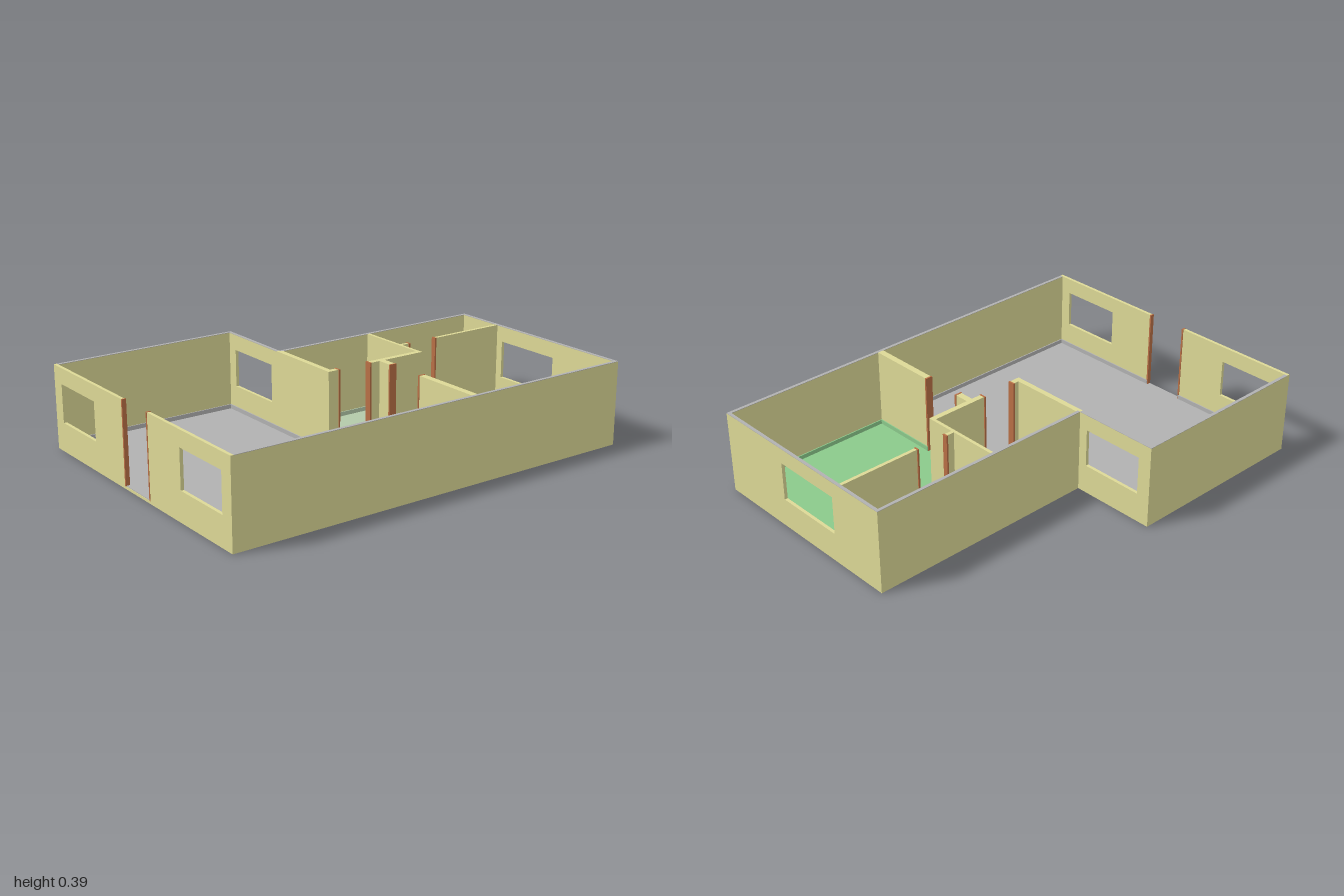
import * as THREE from 'three';

const mat = (color) => new THREE.MeshStandardMaterial({ color, flatShading: true });
const WALL = mat(0xdcd896), GREY = mat(0xb1b1b1), GREEN = mat(0x8bc98b);
const PALE = mat(0xb3c9a9), WOOD = mat(0xb86f45);
const BASE = 0.012, FLOOR = 0.015, TOP = 0.386, T = 0.015, SKIRT = 0.035;

export function createModel() {
  const model = new THREE.Group();

  const add = (name, geometry, material) => {
    const mesh = new THREE.Mesh(geometry, material);
    mesh.name = name;
    model.add(mesh);
    return mesh;
  };
  const box = (name, material, x0, x1, y0, y1, z0, z1) => {
    const mesh = add(name, new THREE.BoxGeometry(x1 - x0, y1 - y0, z1 - z0), material);
    mesh.position.set((x0 + x1) / 2, (y0 + y1) / 2, (z0 + z1) / 2);
    return mesh;
  };
  const wall = (name, x0, x1, z0, z1, capped = false) => {
    box(name, WALL, x0, x1, BASE, capped ? TOP - 0.002 : TOP, z0, z1);
    if (capped) box(name + 'Cap', GREY, x0, x1, TOP - 0.002, TOP, z0, z1);
  };

  // Wall along x with one window opening
  const windowWall = (name, x0, x1, z0, z1, w0, w1, capped) => {
    const top = capped ? TOP - 0.002 : TOP;
    const rect = (Type, a, b, c, d) => new Type([[a, c], [b, c], [b, d], [a, d]].map((p) => new THREE.Vector2(...p)));
    const shape = rect(THREE.Shape, x0, x1, BASE, top);
    shape.holes.push(rect(THREE.Path, w0, w1, 0.135, 0.312));
    const geometry = new THREE.ExtrudeGeometry(shape, { depth: z1 - z0, bevelEnabled: false });
    add(name, geometry.translate(0, 0, z0), WALL);
    if (capped) box(name + 'Cap', GREY, x0, x1, top, TOP, z0, z1);
  };

  // L-shaped base slab
  const outline = [[-0.71, 1], [0.71, 1], [0.71, -1], [-0.305, -1], [-0.305, 0.095], [-0.71, 0.095]];
  const slab = new THREE.Shape(outline.map(([x, z]) => new THREE.Vector2(x, -z)));
  add('baseSlab', new THREE.ExtrudeGeometry(slab, { depth: BASE, bevelEnabled: false }).rotateX(-Math.PI / 2), WALL);

  // Floors
  box('livingFloor', GREY, -0.695, 0.695, BASE, FLOOR, 0.11, 0.998);
  box('hallFloor', GREY, 0.078, 0.695, BASE, FLOOR, -0.18, 0.11);
  box('storeFloor', GREY, -0.29, -0.066, BASE, FLOOR, -0.985, -0.405);
  box('bedroomFloor', GREEN, -0.05, 0.695, BASE, FLOOR, -0.985, -0.4);
  box('bedroomFloorRear', GREEN, 0.09, 0.695, BASE, FLOOR, -0.4, -0.18);
  box('bathFloor', PALE, -0.29, 0.078, BASE, FLOOR, -0.39, 0.085);
  box('storeThreshold', WALL, -0.066, -0.05, BASE, FLOOR, -0.6, -0.445);

  // Outer walls
  for (const s of [-1, 1]) {
    windowWall('frontWall', s < 0 ? -0.71 : 0.1, s < 0 ? -0.1 : 0.71, 1 - T, 1,
      s < 0 ? -0.645 : 0.347, s < 0 ? -0.347 : 0.645, false);
  }
  windowWall('backWall', -0.305, 0.71, -1, -1 + T, -0.015, 0.325, true);
  windowWall('recessWall', -0.71, -0.305, 0.095, 0.11, -0.645, -0.347, true);
  wall('rightOuterWall', -0.71, -0.695, 0.11, 1 - T, true);
  wall('rightRearWall', -0.305, -0.29, -1 + T, 0.095, true);
  wall('leftOuterWall', 0.695, 0.71, -1 + T, 1 - T, true);

  // Inner partitions
  wall('storePartition', -0.066, -0.05, -0.985, -0.6);
  wall('storePartitionStub', -0.066, -0.05, -0.445, -0.405);
  wall('bathRearWall', -0.29, 0.09, -0.405, -0.39);
  wall('bathSideWall', 0.065, 0.09, -0.39, -0.115);
  wall('bathSideStub', 0.065, 0.09, 0.055, 0.085);
  wall('bathFrontWall', -0.305, 0.09, 0.085, 0.11);
  wall('bedroomWallStub', 0.09, 0.162, -0.195, -0.165);
  wall('bedroomWall', 0.36, 0.695, -0.195, -0.165);

  // Door jambs, a touch wider than their walls
  const J = 0.004;
  for (const x of [-0.1, 0.1, 0.162, 0.36]) {
    const [z0, z1] = Math.abs(x) === 0.1 ? [1 - T, 1] : [-0.195, -0.165];
    box('doorJamb', WOOD, x - J, x + J, BASE, TOP + 0.001, z0 - 0.003, z1 + (z1 === 1 ? 0.001 : 0.003));
  }
  for (const z of [-0.6, -0.445, -0.115, 0.055]) {
    const [x0, x1] = z < -0.4 ? [-0.066, -0.05] : [0.065, 0.09];
    box('doorJamb', WOOD, x0 - 0.005, x1 + 0.003, BASE, TOP + 0.001, z - J, z + J);
  }

  // Skirting runs along the foot of each room's walls, broken at the doors
  const skirting = (name, material, points) => {
    const h = 0.005;
    for (let i = 1; i < points.length; i++) {
      const [a, b] = [points[i - 1], points[i]];
      const alongX = a[1] === b[1];
      const [ex, ez] = alongX ? [0, h] : [h, 0];
      box(name, material, Math.min(a[0], b[0]) - ex, Math.max(a[0], b[0]) + ex, BASE, SKIRT,
        Math.min(a[1], b[1]) - ez, Math.max(a[1], b[1]) + ez);
    }
  };
  skirting('livingSkirting', GREY, [[-0.1, 0.985], [-0.695, 0.985], [-0.695, 0.11], [0.09, 0.11], [0.09, 0.055]]);
  skirting('livingSkirting', GREY, [[0.1, 0.985], [0.695, 0.985], [0.695, -0.165], [0.36, -0.165]]);
  skirting('hallSkirting', GREY, [[0.09, -0.115], [0.09, -0.165], [0.162, -0.165]]);
  skirting('storeSkirting', GREY, [[-0.066, -0.6], [-0.066, -0.985], [-0.29, -0.985], [-0.29, -0.405], [-0.066, -0.405], [-0.066, -0.445]]);
  skirting('bedroomSkirting', GREEN, [[-0.05, -0.6], [-0.05, -0.985], [0.695, -0.985], [0.695, -0.195], [0.36, -0.195]]);
  skirting('bedroomSkirting', GREEN, [[-0.05, -0.445], [-0.05, -0.405], [0.09, -0.405], [0.09, -0.195], [0.162, -0.195]]);
  skirting('bathSkirting', PALE, [[0.065, -0.115], [0.065, -0.39], [-0.29, -0.39], [-0.29, 0.085], [0.065, 0.085], [0.065, 0.055]]);

  return model;
}
